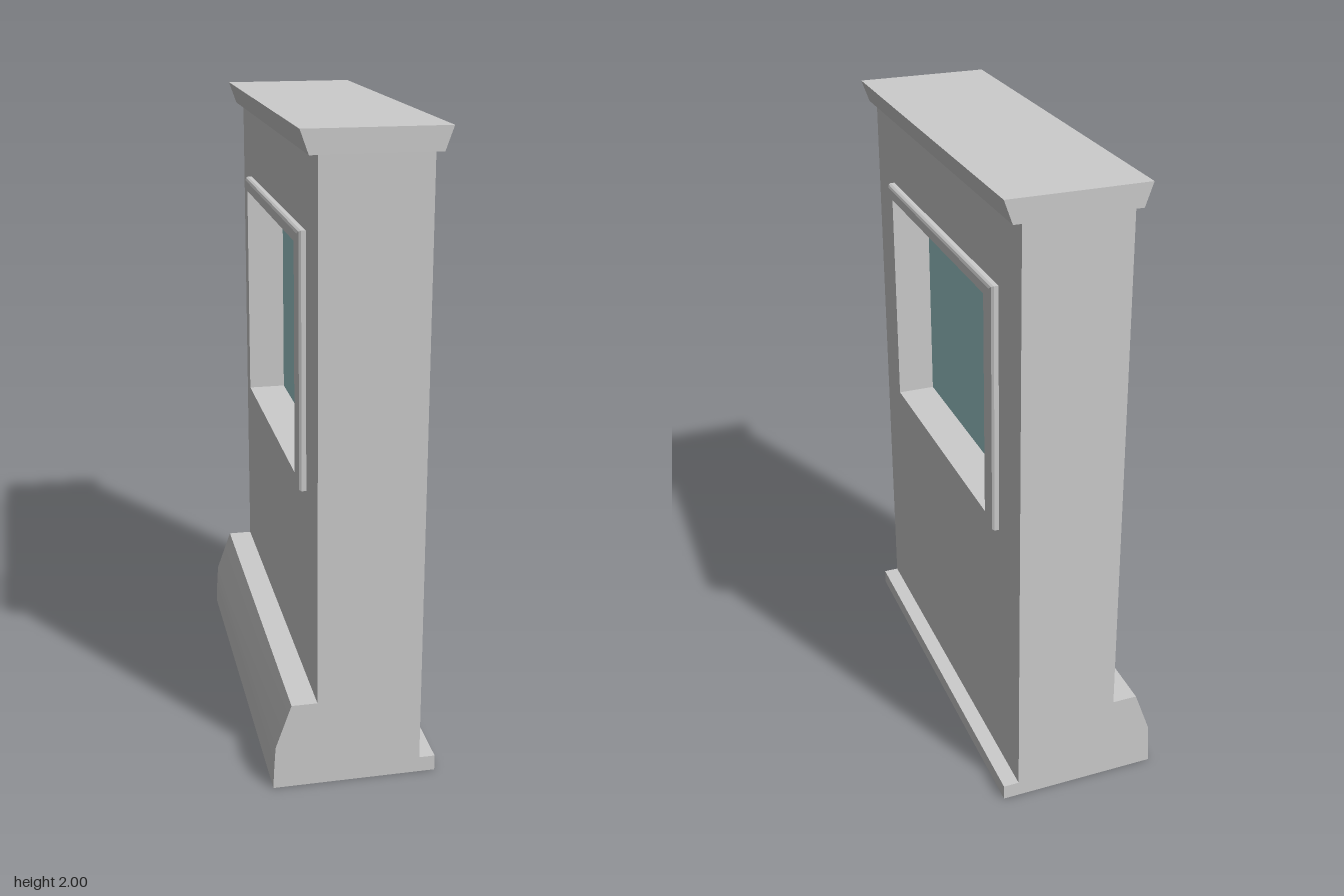
import * as THREE from 'three';
import { toCreasedNormals } from 'three/addons/utils/BufferGeometryUtils.js';

const LENGTH = 1.31;                 // along z
const X0 = -0.12, X1 = 0.205;        // wall faces
const MID = (X0 + X1) / 2, HALF = (X1 - X0) / 2;
const WIN = { y: 1.3, z: 0.43, h: 0.355 }; // opening centre and half sizes

const grey = new THREE.MeshStandardMaterial({ color: 0xcccccc });
const glass = new THREE.MeshStandardMaterial({ color: 0x9fccce });

function part(name, geometry, material = grey) {
  const mesh = new THREE.Mesh(geometry, material);
  mesh.name = name;
  return mesh;
}

// Moulding: an x/y outline running the full length along z
function moulding(name, points) {
  const shape = new THREE.Shape(points.map(([x, y]) => new THREE.Vector2(x, y)));
  const g = new THREE.ExtrudeGeometry(shape, { depth: LENGTH, bevelEnabled: false });
  g.translate(0, 0, -LENGTH / 2);
  return part(name, toCreasedNormals(g, Math.PI / 6));
}

const rect = (Type, w, y0, y1) => new Type([
  new THREE.Vector2(-w, y0), new THREE.Vector2(w, y0),
  new THREE.Vector2(w, y1), new THREE.Vector2(-w, y1),
]);

// Window surround: a profile swept round the rectangular opening, mitred at corners
function frameGeometry() {
  // [fraction from outer edge to inner edge, height above the wall]
  const profile = [[0, 0], [0, 0.014], [0.08, 0.021], [0.25, 0.025], [1, 0.025], [1, 0]];
  const corners = [[1, 1], [1, -1], [-1, -1], [-1, 1]];
  const at = (j, c) => {
    const [t, x] = profile[j], [sz, sy] = corners[c % 4];
    return [HALF + x, sy * THREE.MathUtils.lerp(0.395, WIN.h, t), sz * THREE.MathUtils.lerp(0.485, WIN.z, t)];
  };
  const pos = [];
  for (let j = 0; j < profile.length - 1; j++) {
    for (let c = 0; c < 4; c++) {
      const a = at(j, c), b = at(j, c + 1), d = at(j + 1, c + 1), e = at(j + 1, c);
      pos.push(...a, ...b, ...d, ...a, ...d, ...e);
    }
  }
  const g = new THREE.BufferGeometry();
  g.setAttribute('position', new THREE.Float32BufferAttribute(pos, 3));
  g.computeVertexNormals();
  return g;
}

export function createModel() {
  const model = new THREE.Group();
  model.name = 'wallSection';

  // Wall slab with the window opening cut through
  const outline = rect(THREE.Shape, LENGTH / 2, 0, 1.93);
  outline.holes.push(rect(THREE.Path, WIN.z, WIN.y - WIN.h, WIN.y + WIN.h));
  const wall = new THREE.ExtrudeGeometry(outline, { depth: X1 - X0, bevelEnabled: false });
  wall.rotateY(Math.PI / 2).translate(X0, 0, 0);
  model.add(part('wall', wall));

  // Cap, sloped plinth and low skirting
  model.add(moulding('cap', [[-0.145, 1.93], [0.23, 1.93], [0.255, 2], [-0.17, 2]]));
  model.add(moulding('plinth', [[-0.258, 0], [X0, 0], [X0, 0.28], [-0.2, 0.28], [-0.25, 0.14], [-0.256, 0.05]]));
  model.add(moulding('skirting', [[X1, 0], [0.255, 0], [0.255, 0.05], [X1, 0.05]]));

  // Surround on each face
  const frame = frameGeometry();
  for (const [name, turn] of [['leftWindowFrame', 0], ['rightWindowFrame', Math.PI]]) {
    const mesh = part(name, frame);
    mesh.position.set(MID, WIN.y, 0);
    mesh.rotation.y = turn;
    model.add(mesh);
  }

  // Glazing set back from both faces
  const pane = part('windowGlass', new THREE.BoxGeometry(0.13, WIN.h * 2, WIN.z * 2), glass);
  pane.position.set(MID, WIN.y, 0);
  model.add(pane);

  return model;
}
